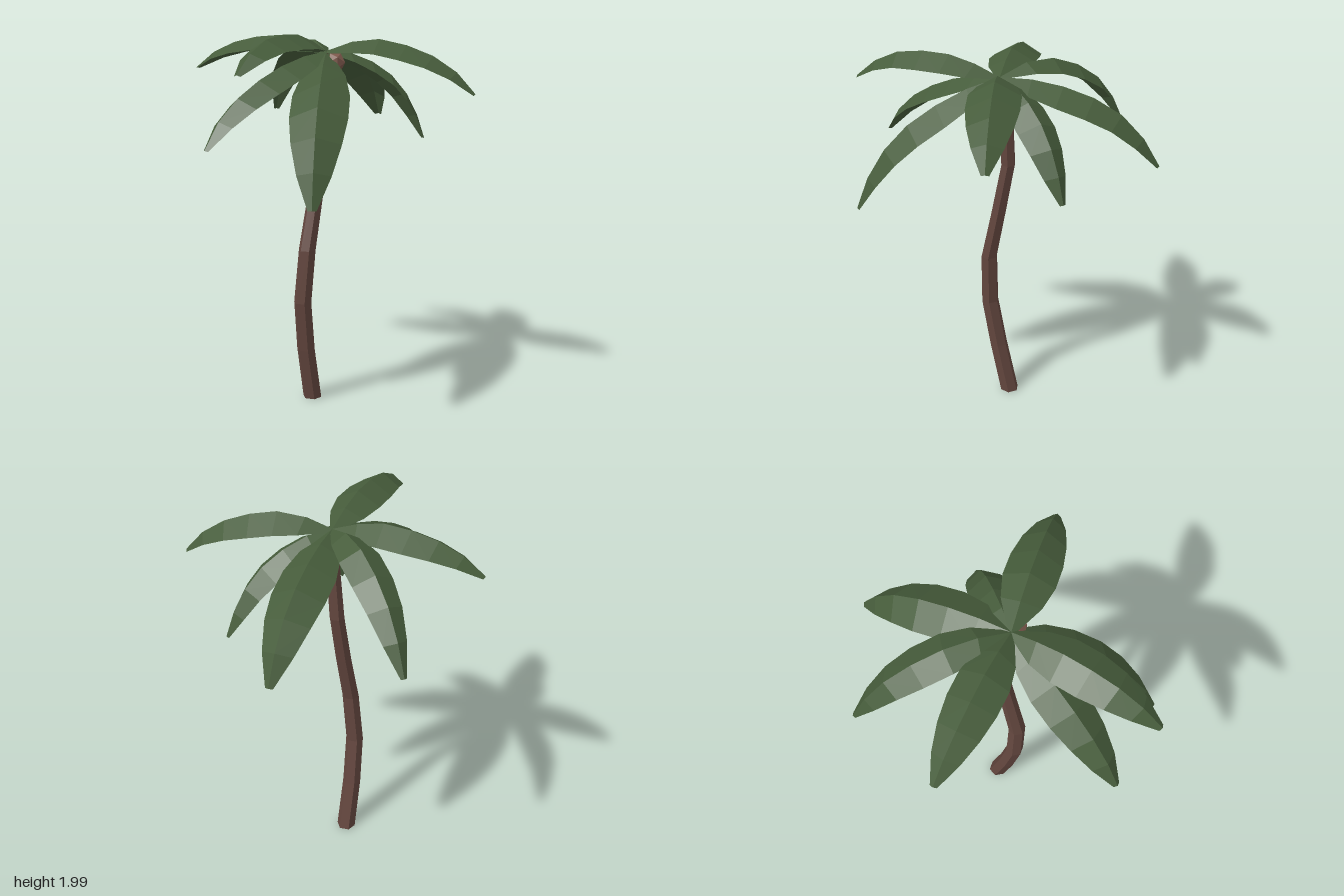
import * as THREE from 'three';

const material = (color, extra = {}) =>
  new THREE.MeshStandardMaterial({ color, flatShading: true, ...extra });

// Trunk rings from the ground up: x, y, z, radius
const RINGS = [
  [-0.06, 0, -0.04, 0.052], [-0.105, 0.3, 0.007, 0.05], [-0.13, 0.58, 0.047, 0.048],
  [-0.107, 0.87, 0.06, 0.046], [-0.055, 1.15, 0.025, 0.042], [-0.01, 1.43, -0.01, 0.039],
  [0.005, 1.7, 0.005, 0.035], [0.0, 1.89, 0.03, 0.031],
];

// Fronds: tip position, rib heights at 30% and 70% of the reach, width factor
const CROWN = new THREE.Vector3(0, 1.9, 0.04);
const FRONDS = [
  [-0.12, 1.53, -0.74, 1.96, 1.845, 0.93], [0.47, 1.5, -0.61, 1.89, 1.78, 1.2],
  [0.56, 1.43, -0.04, 1.88, 1.745, 0.95], [0.67, 1.7, 0.4, 1.965, 1.89, 1.15],
  [-0.23, 1.23, 0.74, 1.82, 1.62, 1.28], [-0.54, 1.83, 0.61, 1.985, 1.975, 1.08],
  [-0.67, 1.47, 0.42, 1.86, 1.72, 1.08], [-0.61, 1.8, -0.42, 1.975, 1.935, 1.1],
];
const HALF_WIDTHS = [0.015, 0.085, 0.11, 0.11, 0.094, 0.064, 0.016];

// Six-sided cylinder whose rings follow the bent stem
function trunkGeometry() {
  const last = RINGS.length - 1;
  const geometry = new THREE.CylinderGeometry(1, 1, 1, 6, last);
  const p = geometry.attributes.position;
  for (let i = 0; i < p.count; i++) {
    const [x, y, z, r] = RINGS[Math.round((p.getY(i) + 0.5) * last)];
    p.setXYZ(i, x + p.getX(i) * r, y, z + p.getZ(i) * r);
  }
  geometry.computeVertexNormals();
  return geometry;
}

// Arched leaf folded along its rib, with both halves sloping down
function frondGeometry([x, y, z, innerY, outerY, width]) {
  const tip = new THREE.Vector3(x, y, z);
  const ribPoint = (reach, height) => CROWN.clone().lerp(tip, reach).setY(height);
  const rib = new THREE.CatmullRomCurve3([
    CROWN,
    ribPoint(0.3, innerY),
    ribPoint(0.7, outerY),
    ribPoint(0.92, THREE.MathUtils.lerp(outerY, y, 0.6)),
    tip,
  ]);
  const side = new THREE.Vector3(CROWN.z - z, 0, x - CROWN.x).normalize();
  const n = HALF_WIDTHS.length - 1;
  const points = [], faces = [];
  HALF_WIDTHS.forEach((half, i) => {
    const w = half * width;
    const c = rib.getPointAt(i / n);
    const normal = side.clone().cross(rib.getTangentAt(i / n));
    const edge = (s) => c.clone().addScaledVector(side, s * w).addScaledVector(normal, -0.55 * w);
    points.push(edge(-1), c, edge(1));
    if (i === n) return;
    for (let k = 0; k < 2; k++) {
      const a = i * 3 + k;
      faces.push(a, a + 1, a + 4, a, a + 4, a + 3);
    }
  });
  const geometry = new THREE.BufferGeometry().setFromPoints(points);
  geometry.setIndex(faces);
  geometry.computeVertexNormals();
  return geometry;
}

export function createModel() {
  const model = new THREE.Group();
  model.name = 'palmTree';
  const add = (name, geometry, mat, parent = model) => {
    const mesh = new THREE.Mesh(geometry, mat);
    mesh.name = name;
    parent.add(mesh);
    return mesh;
  };

  add('trunk', trunkGeometry(), material(0x64473f));

  // Leaf crown
  const crown = new THREE.Group();
  crown.name = 'fronds';
  model.add(crown);
  const leaf = material(0x465c3b, { side: THREE.DoubleSide });
  FRONDS.forEach((f, i) => add(`frond${i + 1}`, frondGeometry(f), leaf, crown));

  // Nuts tucked under the leaves
  const nuts = new THREE.Group();
  nuts.name = 'coconuts';
  model.add(nuts);
  const shell = material(0x7d594c);
  const nut = new THREE.IcosahedronGeometry(0.052, 0);
  [[0.04, 1.845, 0.075], [0.045, 1.815, -0.045], [0.03, 1.79, 0.05]].forEach((at, i) => {
    const mesh = add(`coconut${i + 1}`, nut, shell, nuts);
    mesh.position.set(...at);
    mesh.rotation.set(i, i * 2, 0);
  });
  return model;
}
